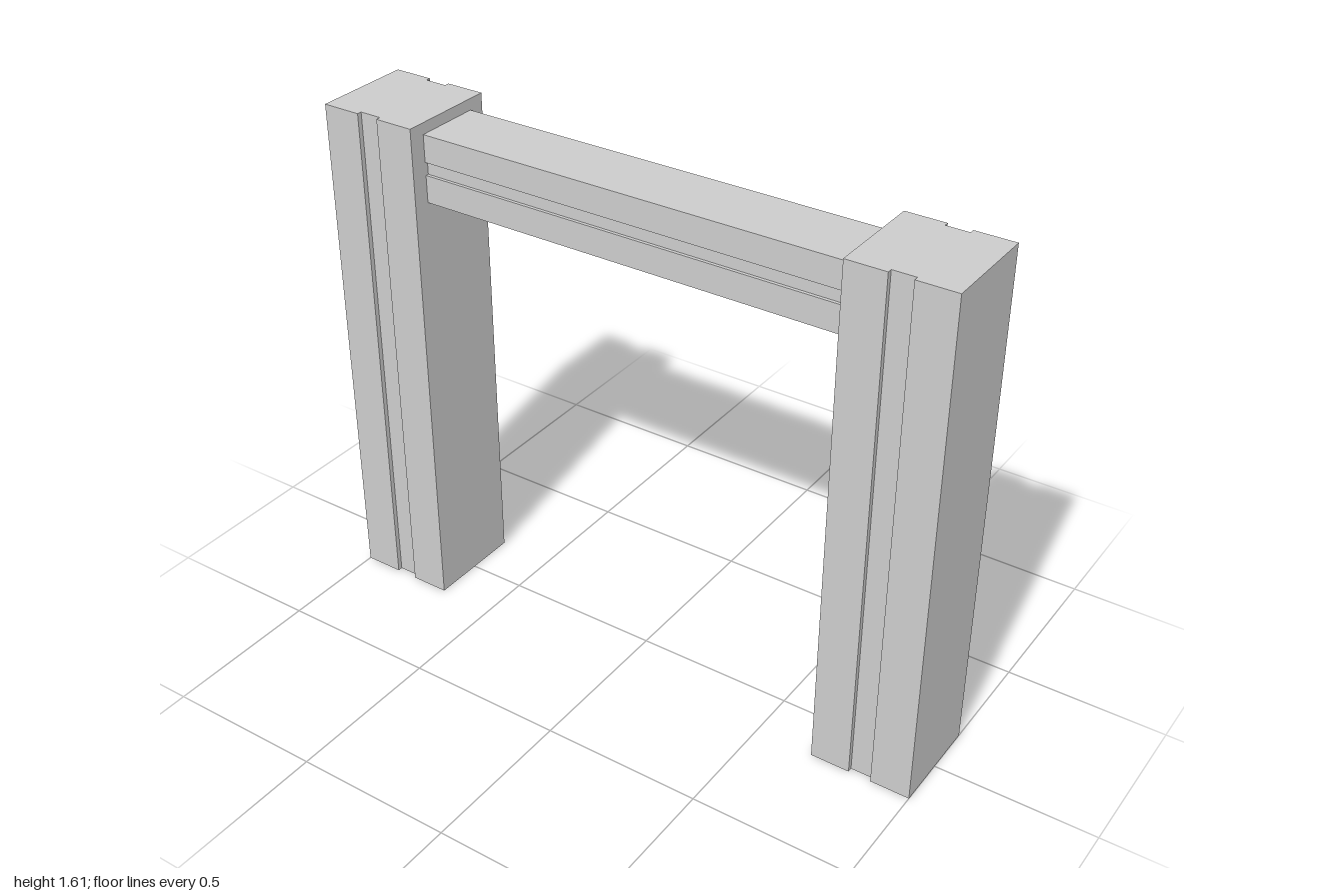
import * as THREE from 'three';

const material = new THREE.MeshStandardMaterial({ color: 0xcccccc, flatShading: true });

// Square bar along y, centred, with a shallow groove down its front and back faces
function groovedBar(width, depth, length, grooveWidth, grooveDepth) {
  const w = width / 2, d = depth / 2, g = grooveWidth / 2, f = d - grooveDepth;
  const shape = new THREE.Shape([
    [-w, -d], [-g, -d], [-g, -f], [g, -f], [g, -d], [w, -d],
    [w, d], [g, d], [g, f], [-g, f], [-g, d], [-w, d],
  ].map(([x, y]) => new THREE.Vector2(x, y)));
  const geometry = new THREE.ExtrudeGeometry(shape, { depth: length, bevelEnabled: false });
  return geometry.translate(0, 0, -length / 2).rotateX(-Math.PI / 2);
}

export function createModel() {
  const group = new THREE.Group();
  const height = 1.61, postWidth = 0.316;

  // Two upright posts
  const postGeometry = groovedBar(postWidth, 0.316, height, 0.07, 0.015);
  for (const [name, side] of [['leftPost', 1], ['rightPost', -1]]) {
    const post = new THREE.Mesh(postGeometry, material);
    post.name = name;
    post.position.set(side * (1 - postWidth / 2), height / 2, 0);
    group.add(post);
  }

  // Crossbeam between the posts, groove running lengthwise
  const beamGeometry = groovedBar(0.21, 0.21, 2 - 2 * postWidth, 0.04, 0.01);
  const beam = new THREE.Mesh(beamGeometry.rotateZ(Math.PI / 2), material);
  beam.name = 'crossbeam';
  beam.position.y = 1.47;
  group.add(beam);

  return group;
}
